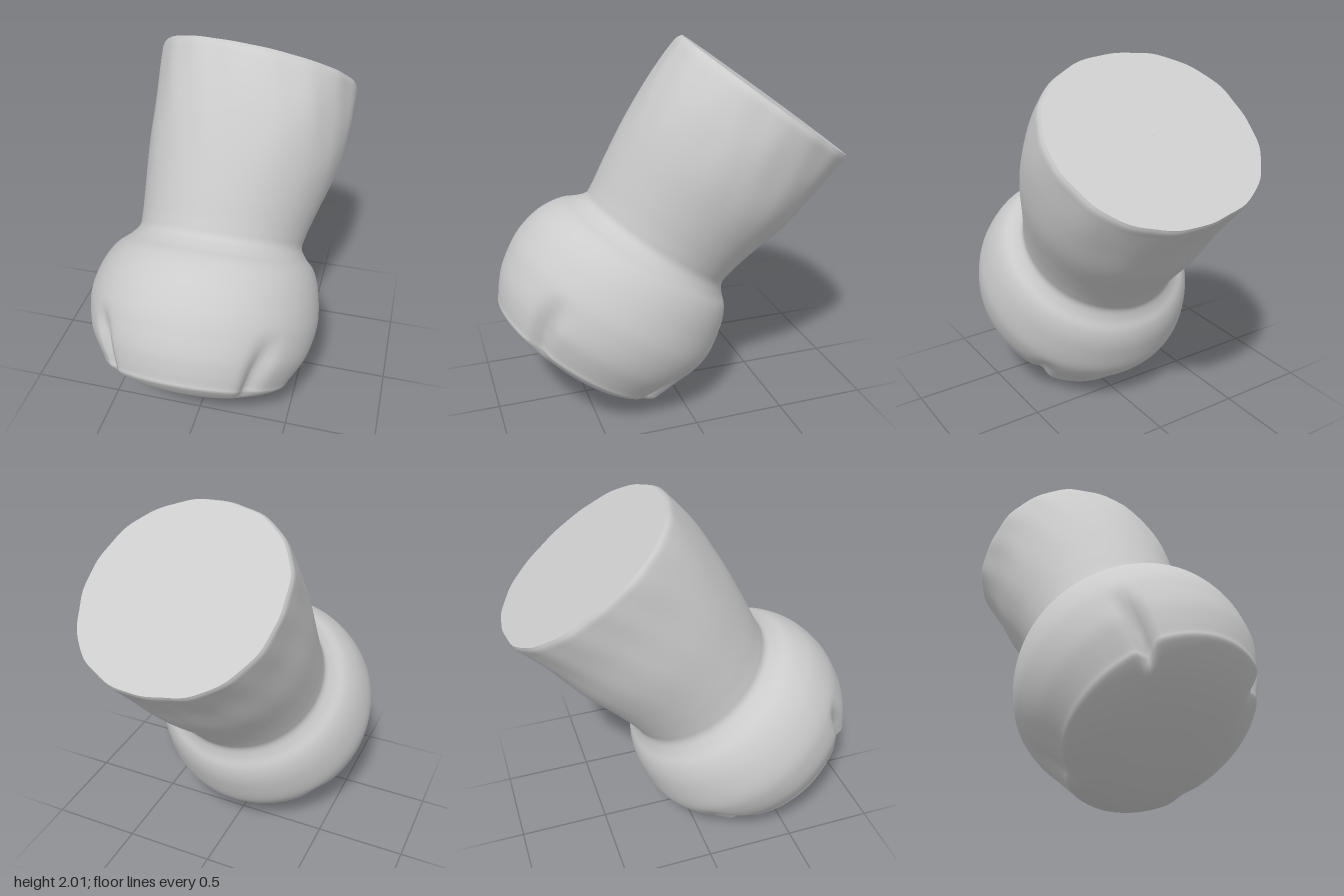
import * as THREE from 'three';

const SIDES = 128, ROWS = 140;
// Tilted frame of the stopper: axis runs from the foot up and back
const ORIGIN = new THREE.Vector3(0, 0.22, 0.55);
const AXIS = new THREE.Vector3(0, 0.813, -0.582);
const FRONT = new THREE.Vector3(0, 0.582, 0.813);
const { smoothstep } = THREE.MathUtils;

// Profile: height along axis, radius, shift towards the front
const profile = new THREE.CatmullRomCurve3([
  [-0.012, 0.002, 0], [-0.008, 0.16, 0], [0.008, 0.31, 0], [0.035, 0.425, 0.005],
  [0.075, 0.512, 0.022], [0.093, 0.534, 0.03], [0.115, 0.543, 0.032], [0.17, 0.567, 0.038],
  [0.25, 0.597, 0.042], [0.35, 0.625, 0.035], [0.46, 0.637, 0.032], [0.6, 0.612, 0.035],
  [0.68, 0.58, 0.032], [0.74, 0.54, 0.03], [0.79, 0.485, 0.028], [0.84, 0.45, 0.026],
  [0.9, 0.452, 0.028], [1.05, 0.476, 0.032], [1.31, 0.522, 0.027], [1.55, 0.54, 0.026],
  [1.74, 0.545, 0.01], [1.79, 0.543, 0.002], [1.813, 0.533, -0.004],
].map(p => new THREE.Vector3(...p)), false, 'centripetal');

// Wire dents pressed into the head: angle, depth, width
const dents = [[0.78, 0.055, 0.1], [-0.74, 0.075, 0.065], [2.35, 0.035, 0.09], [-2.35, 0.025, 0.1]];

function dentAt(angle, t) {
  const fade = smoothstep(t, 0.03, 0.1) * (1 - smoothstep(t, 0.2, 0.45));
  let sum = 0;
  for (const [a, depth, width] of dents) {
    const d = Math.atan2(Math.sin(angle - a), Math.cos(angle - a)) / width;
    sum += depth * Math.exp(-d * d);
  }
  return sum * fade;
}

// Head is a little narrower sideways, its lower edge rounder there, leaving tabs at front and back
function sideRounding(angle, t) {
  const s = Math.abs(Math.sin(angle));
  const lowerEdge = 0.05 * smoothstep(s, 0.6, 0.82) * (1 - smoothstep(t, 0.06, 0.28));
  return 1 - lowerEdge - 0.018 * s * s * (1 - smoothstep(t, 0.6, 0.85));
}

// Slightly squarish, uneven shaft, stronger near the cut end
function wobble(angle, t) {
  const k = smoothstep(t, 0.95, 1.8);
  return k * (0.002 * Math.sin(5 * angle + 4 * t) + 0.002 * Math.sin(9 * angle - 7 * t)
    + 0.002 * Math.sin(17 * angle + 9 * t) - 0.007 * Math.cos(4 * angle));
}

// The shaft leans towards +x, and its cut end tilts with it
function place(t, r, shift, angle) {
  const side = r * Math.sin(angle);
  const lean = 0.11 * smoothstep(t, 0.4, 1.65) - 0.015;
  const tilt = -0.09 * side * smoothstep(t, 0.9, 1.7);
  const p = ORIGIN.clone().addScaledVector(AXIS, t + tilt).addScaledVector(FRONT, r * Math.cos(angle) + shift);
  p.x += side + lean;
  return p;
}

function ring(p) {
  const points = [];
  for (let j = 0; j < SIDES; j++) {
    const a = (j / SIDES) * Math.PI * 2;
    const r = p.y * sideRounding(a, p.x) - dentAt(a, p.x) + wobble(a, p.x);
    points.push(place(p.x, r, p.z, a));
  }
  return points;
}

// Skin of stacked rings, closed around
function loft(rings) {
  const index = [];
  for (let i = 0; i < rings.length - 1; i++) {
    for (let j = 0; j < SIDES; j++) {
      const k = (j + 1) % SIDES;
      const a = i * SIDES + j, b = i * SIDES + k, c = a + SIDES, d = b + SIDES;
      index.push(a, b, d, a, d, c);
    }
  }
  const geometry = new THREE.BufferGeometry().setFromPoints(rings.flat());
  geometry.setIndex(index);
  geometry.computeVertexNormals();
  return geometry;
}

export function createModel() {
  const group = new THREE.Group();
  group.name = 'bottleStopper';
  const material = new THREE.MeshStandardMaterial({ color: 0xcccccc });
  const add = (name, geometry) => {
    const mesh = new THREE.Mesh(geometry, material);
    mesh.name = name;
    group.add(mesh);
  };

  // Domed foot, rounded head and shaft in one skin
  const rings = [];
  for (let i = 0; i <= ROWS; i++) rings.push(ring(profile.getPoint(i / ROWS)));
  add('headAndShaft', loft(rings));

  // Flat cut end with its own sharp edge
  const centre = place(1.813, 0, -0.004, 0);
  const capRings = [1, 0.7, 0.35, 0.002].map(s => rings[ROWS].map(p => centre.clone().lerp(p, s)));
  add('cutEnd', loft(capRings));

  return group;
}
